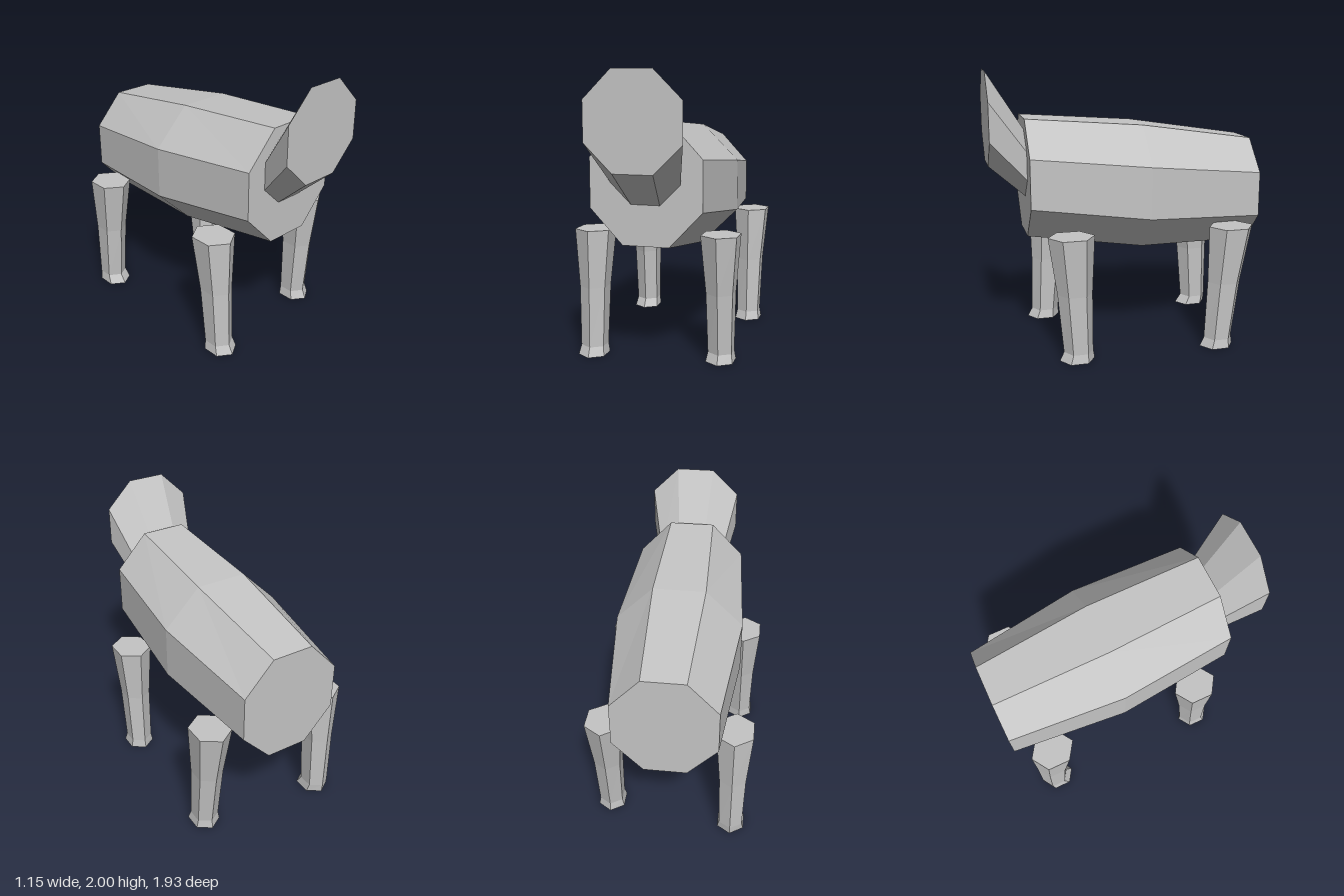
import * as THREE from 'three';

// Flat-faced solid through a list of rings (equal point counts), capped at both ends.
// Rings run counter-clockwise as seen from the end of the solid.
function loft(rings) {
  const pos = [];
  const tri = (...pts) => pts.forEach((p) => pos.push(...p));
  const n = rings[0].length;
  for (let k = 0; k < rings.length - 1; k++) {
    const a = rings[k], b = rings[k + 1];
    for (let i = 0; i < n; i++) {
      const j = (i + 1) % n;
      tri(a[i], a[j], b[j]);
      tri(a[i], b[j], b[i]);
    }
  }
  const first = rings[0], last = rings[rings.length - 1];
  for (let i = 1; i < n - 1; i++) {
    tri(first[0], first[i + 1], first[i]);
    tri(last[0], last[i], last[i + 1]);
  }
  const geometry = new THREE.BufferGeometry();
  geometry.setAttribute('position', new THREE.Float32BufferAttribute(pos, 3));
  geometry.computeVertexNormals();
  return geometry;
}

// Upright octagon with flat top and sides, sized by its half width and half height
function octagon(z, cy, halfW, halfH) {
  const k = Math.cos(Math.PI / 8);
  return Array.from({ length: 8 }, (_, i) => {
    const t = Math.PI / 8 + (i * Math.PI) / 4;
    return [(halfW / k) * Math.cos(t), cy + (halfH / k) * Math.sin(t), z];
  });
}

// Level hexagon with its points facing front and back
function hexagon(y, cx, cz, halfW, halfL) {
  const k = Math.cos(Math.PI / 6);
  return Array.from({ length: 6 }, (_, i) => {
    const t = Math.PI / 6 + (i * Math.PI) / 3;
    return [cx + (halfW / k) * Math.cos(t), y, cz - halfL * Math.sin(t)];
  });
}

export function createModel() {
  const model = new THREE.Group();
  model.name = 'animal';
  const grey = new THREE.MeshStandardMaterial({ color: 0xc4c4c4 });
  grey.name = 'light grey';

  const add = (name, rings) => {
    const mesh = new THREE.Mesh(loft(rings), grey);
    mesh.name = name;
    model.add(mesh);
  };

  // Barrel body, rump to chest
  add('body', [
    octagon(-0.965, 1.095, 0.355, 0.385),
    octagon(-0.125, 1.162, 0.445, 0.445),
    octagon(0.71, 1.257, 0.388, 0.415),
  ]);

  // Head flaring up and forward out of the chest
  add('head', [
    octagon(0.705, 1.352, 0.238, 0.236),
    octagon(0.965, 1.675, 0.325, 0.325),
  ]);

  // Leg sections from sole to top: height, half width, half length
  const sections = [
    [0, 0.095, 0.125],
    [0.065, 0.083, 0.105],
    [0.49, 0.0925, 0.124],
    [0.9, 0.124, 0.163],
  ];
  // Each leg strides differently: z centre of every section
  const legs = [
    ['frontLeftLeg', 0.452, [0.42, 0.41, 0.43, 0.45]],
    ['frontRightLeg', -0.452, [0.52, 0.505, 0.478, 0.45]],
    ['backLeftLeg', 0.452, [-0.622, -0.632, -0.67, -0.712]],
    ['backRightLeg', -0.452, [-0.735, -0.76, -0.742, -0.712]],
  ];
  for (const [name, x, centres] of legs) {
    add(name, sections.map(([y, w, l], i) => hexagon(y, x, centres[i], w, l)));
  }

  return model;
}
